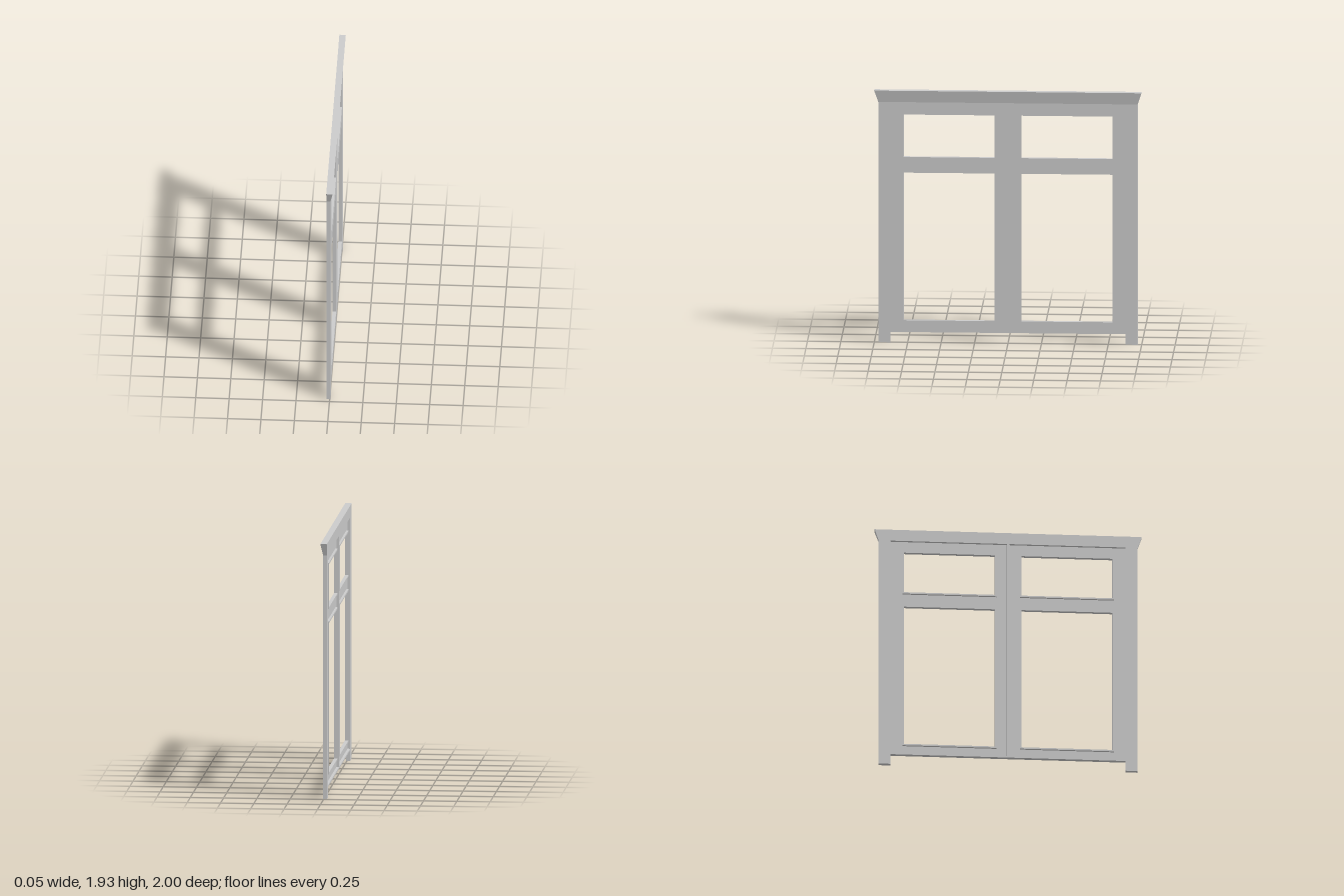
import * as THREE from 'three';

const FACE = 0.006, BACK = -0.024;          // main thickness along x
const PANEL_BACK = -0.004, BEAD_BACK = -0.021;
const SILL = 0.08, TOP = 1.84, HALF = 0.97, LEG = 0.88;

export function createModel() {
  const group = new THREE.Group();
  const material = new THREE.MeshStandardMaterial({ color: 0xcccccc, flatShading: true });

  function add(name, geometry) {
    const mesh = new THREE.Mesh(geometry, material);
    mesh.name = name;
    group.add(mesh);
    return mesh;
  }

  // Box given by its limits
  function block(name, x0, x1, y0, y1, z0, z1) {
    const geometry = new THREE.BoxGeometry(x1 - x0, y1 - y0, z1 - z0);
    geometry.translate((x0 + x1) / 2, (y0 + y1) / 2, (z0 + z1) / 2);
    return add(name, geometry);
  }

  function rect(Type, z0, z1, y0, y1) {
    return new Type([[z0, y0], [z1, y0], [z1, y1], [z0, y1]].map(p => new THREE.Vector2(...p)));
  }

  // Outline in the z-y plane, extruded along x
  function slab(name, shape, x0, x1) {
    const geometry = new THREE.ExtrudeGeometry(shape, { depth: x1 - x0, bevelEnabled: false });
    geometry.rotateY(-Math.PI / 2);
    geometry.translate(x1, 0, 0);
    return add(name, geometry);
  }

  // Window openings, mirrored about the centre
  const openings = [];
  for (const [y0, y1] of [[0.17, 1.30], [1.42, 1.745]]) {
    openings.push([0.10, 0.78, y0, y1], [-0.78, -0.10, y0, y1]);
  }

  // Thin face panel with four openings
  const face = rect(THREE.Shape, -LEG, LEG, SILL, TOP);
  for (const o of openings) face.holes.push(rect(THREE.Path, ...o));
  slab('facePanel', face, PANEL_BACK, FACE);

  // Raised bead around each opening on the inner side
  const w = 0.012;
  for (const [z0, z1, y0, y1] of openings) {
    const bead = rect(THREE.Shape, z0 - w, z1 + w, y0 - w, y1 + w);
    bead.holes.push(rect(THREE.Path, z0, z1, y0, y1));
    slab('glazingBead', bead, BEAD_BACK, PANEL_BACK);
  }

  // Side stiles running down into the legs
  block('leftStile', BACK, FACE, 0, TOP, LEG, HALF);
  block('rightStile', BACK, FACE, 0, TOP, -HALF, -LEG);

  // Centre bar and bottom sill behind the panel
  block('centreBar', BACK, PANEL_BACK, SILL, TOP, -0.01, 0.01);
  block('bottomSill', BACK, PANEL_BACK, SILL, SILL + 0.012, -LEG, LEG);

  // Cornice, flaring outward to the face side and both ends
  const cornice = block('cornice', BACK, 0.024, TOP, 1.93, -1, 1);
  const p = cornice.geometry.attributes.position;
  for (let i = 0; i < p.count; i++) {
    if (p.getY(i) > 1.9) continue;
    p.setZ(i, Math.sign(p.getZ(i)) * HALF);
    if (p.getX(i) > 0) p.setX(i, FACE);
  }
  cornice.geometry.computeVertexNormals();

  return group;
}
